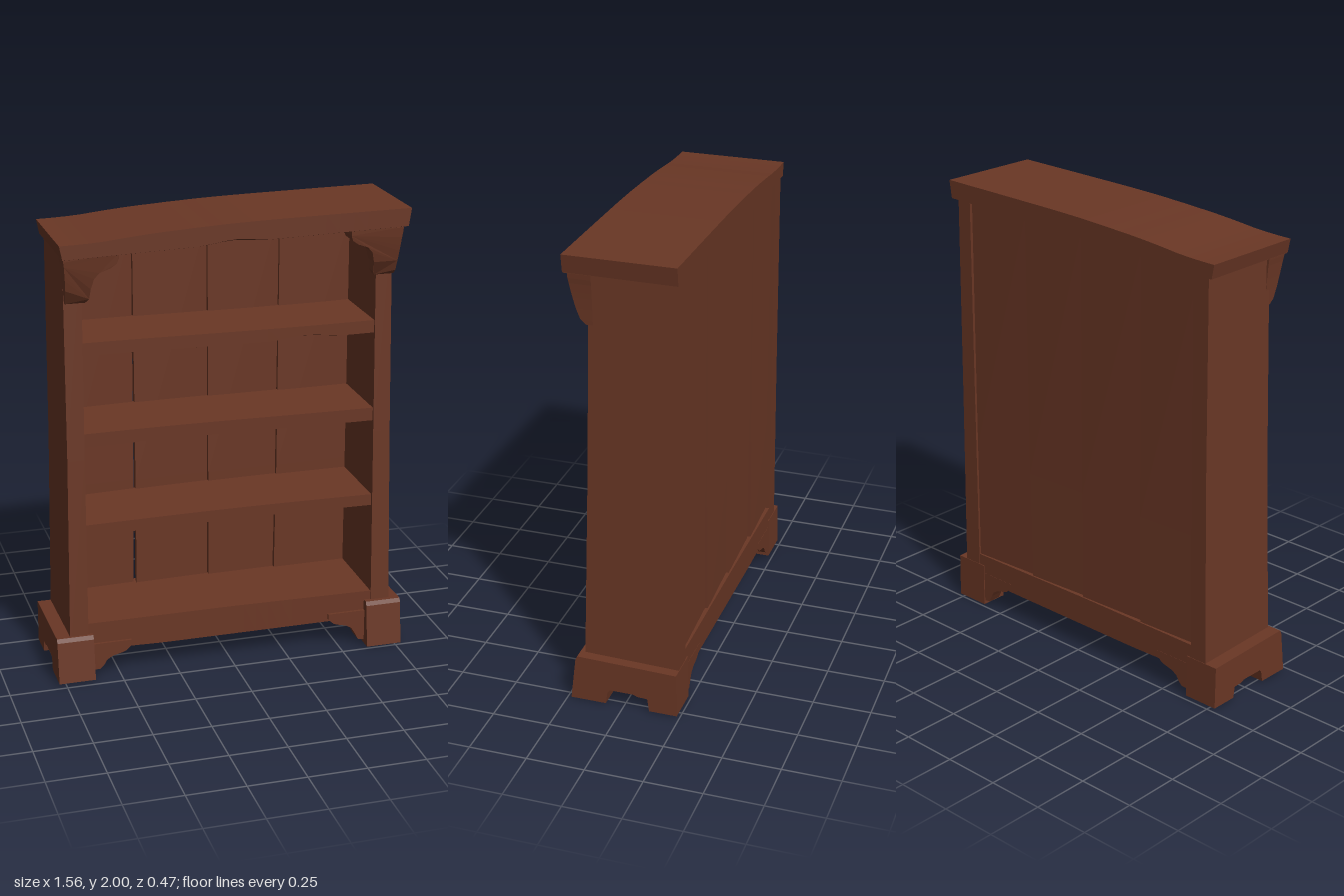
import * as THREE from 'three';

const wood = new THREE.MeshStandardMaterial({ color: 0x6a3725 });
wood.name = 'brown wood';

// Closed solid through rings of [x, y, z]; rings run anticlockwise seen from the last one
function loft(rings) {
  const n = rings[0].length, idx = [];
  for (let r = 0; r < rings.length - 1; r++) {
    for (let i = 0; i < n; i++) {
      const a = r * n + i, b = r * n + (i + 1) % n;
      idx.push(a, b, b + n, a, b + n, a + n);
    }
  }
  const e = (rings.length - 1) * n;
  for (let i = 1; i < n - 1; i++) idx.push(0, i + 1, i, e, e + i, e + i + 1);
  const g = new THREE.BufferGeometry();
  g.setAttribute('position', new THREE.Float32BufferAttribute(rings.flat(2), 3));
  g.setIndex(idx);
  const flat = g.toNonIndexed();
  flat.computeVertexNormals();
  return flat;
}

// Horizontal ring for upright parts
const level = (y, x0, x1, zBack, zFront) =>
  [[x0, y, zFront], [x1, y, zFront], [x1, y, zBack], [x0, y, zBack]];

// Board along x with wavy top and bottom and an optional chipped lower front edge
function board({ x0, x1, bottom, top, zBack, zFront, slant = 0, chipX = 9, chip = 0, chipWidth = 0.15 }) {
  const rings = [], steps = 24;
  for (let i = 0; i <= steps; i++) {
    const t = i / steps, x = THREE.MathUtils.lerp(x0, x1, t);
    const c = 0.002 + chip * Math.max(0, 1 - Math.abs(x - chipX) / chipWidth);
    const lean = slant * (2 * t - 1), b = bottom(x), h = top(x);
    rings.push([
      [x, b + c, zFront], [x, b, zFront - 3 * c], [x, b, zBack],
      [x + lean, h, zBack], [x + lean, h, zFront],
    ]);
  }
  return loft(rings);
}

const outline = (pts) => new THREE.Shape(pts.map(([x, y]) => new THREE.Vector2(x, y)));
const extrude = (pts, depth) =>
  new THREE.ExtrudeGeometry(outline(pts), { depth, bevelEnabled: false });

export function createModel() {
  const model = new THREE.Group();
  model.name = 'bookcase';
  const add = (name, geometry) => {
    const m = new THREE.Mesh(geometry, wood);
    m.name = name;
    model.add(m);
    return m;
  };

  // Tapering side panels
  add('rightSide', loft([
    level(0.12, -0.722, -0.64, -0.23, 0.187),
    level(1.0, -0.706, -0.632, -0.23, 0.162),
    level(1.9, -0.7, -0.622, -0.23, 0.14),
  ]));
  add('leftSide', loft([
    level(0.12, 0.65, 0.736, -0.23, 0.187),
    level(1.0, 0.648, 0.724, -0.23, 0.162),
    level(1.93, 0.645, 0.715, -0.23, 0.14),
  ]));

  // Warped top slab, higher on the left
  const rise = new THREE.CatmullRomCurve3([
    [-0.8, 1.942], [-0.58, 1.947], [-0.35, 1.968], [0, 1.987], [0.4, 1.995], [0.8, 2.0],
  ].map(([x, y]) => new THREE.Vector3(x, y, 0)));
  const risePts = rise.getPoints(100);
  const topY = (x) => risePts.reduce((p, q) => (Math.abs(q.x - x) < Math.abs(p.x - x) ? q : p)).y;
  add('topSlab', board({
    x0: -0.718, x1: 0.752, slant: 0.012, zBack: -0.235, zFront: 0.235,
    bottom: (x) => 1.903 + 0.027 * x - 0.004 * x * x, top: topY,
    chipX: 0, chip: 0.018, chipWidth: 0.14,
  }));

  // Shelves, slightly bowed
  [[0.652, 0.705, 0.158, 0], [1.048, 1.108, 0.15, 0], [1.443, 1.5, 0.142, 0.018]].forEach(
    ([low, high, zFront, chip], i) => {
      const bow = (x) => 0.004 * Math.cos(x * 3 + i);
      add('shelf' + (i + 1), board({
        x0: -0.645, x1: 0.66, zBack: -0.2, zFront, chip, chipX: 0.35,
        bottom: (x) => low + bow(x), top: (x) => high + bow(x),
      }));
    });
  add('baseBoard', board({
    x0: -0.66, x1: 0.67, zBack: -0.228, zFront: 0.178,
    bottom: (x) => 0.12 + 0.025 * Math.max(0, -x - 0.3), top: (x) => 0.255 - 0.012 * Math.max(0, x),
  }));

  // Back planks: [left, right] edges at the foot, then at the head
  [[-0.65, -0.348, -0.64, -0.334], [-0.335, -0.002, -0.331, -0.002],
    [0.001, 0.308, 0.001, 0.322], [0.311, 0.66, 0.325, 0.66]].forEach(([a, b, c, d], i) => {
    const plank = (y, x0, x1, twist) => [
      [x0, y, -0.188 + twist], [x1, y, -0.188 - twist],
      [x1, y, -0.215 - twist], [x0, y, -0.215 + twist],
    ];
    add('backPlank' + (i + 1), loft([
      plank(0.18, a, b, 0.006),
      plank(0.75, a + (c - a) * 0.6, b + (d - b) * 0.6, 0.005),
      plank(1.9 + i * 0.008, c, d, 0.002),
    ]));
  });

  // Curved corbels under the slab, with a front face that sweeps back towards the bottom
  const corbelFront = (y) => 0.155 + 0.067 * Math.sqrt(THREE.MathUtils.clamp((y - 1.68) / 0.2, 0, 1));
  const corbel = (name, side, dy, dx) => {
    const pts = [
      [0.706, 1.68], [0.62, 1.68], [0.608, 1.7], [0.604, 1.745], [0.592, 1.79], [0.57, 1.815],
      [0.525, 1.832], [0.5, 1.85], [0.492, 1.872], [0.492, 1.895],
      [0.722, 1.895], [0.72, 1.872], [0.717, 1.85], [0.714, 1.815], [0.712, 1.79],
      [0.709, 1.745], [0.707, 1.7],
    ].map(([x, y]) => [side * (x + dx), y]);
    const g = extrude(pts, 1), p = g.attributes.position;
    for (let i = 0; i < p.count; i++) {
      p.setZ(i, p.getZ(i) > 0.5 ? corbelFront(p.getY(i)) : 0.125);
      p.setY(i, p.getY(i) + dy);
    }
    g.computeVertexNormals();
    add(name, g);
  };
  corbel('rightCorbel', -1, 0, -0.008);
  corbel('leftCorbel', 1, 0.022, 0.014);

  // Notched feet running front to back
  const foot = (name, x0, width, y0, front) => {
    const g = extrude([
      [front, y0], [front - 0.022, 0.19], [front - 0.03, 0.208], [-0.232, 0.197], [-0.235, y0],
      [-0.113, y0], [-0.105, 0.058], [-0.06, 0.06], [-0.045, 0.068], [0.06, 0.068], [0.072, 0.055], [0.08, y0],
    ], width);
    g.rotateY(-Math.PI / 2);
    g.translate(x0 + width, 0, 0);
    add(name, g);
  };
  foot('rightFoot', -0.78, 0.16, 0.008, 0.225);
  foot('leftFoot', 0.62, 0.16, 0, 0.235);

  // Scrolled brackets beside the feet, front and back
  for (const side of [-1, 1]) {
    for (const [place, z, depth] of [['front', 0.115, 0.075], ['back', -0.229, 0.06]]) {
      const g = extrude([
        [0.64, 0.16], [0.64, side < 0 ? 0.038 : 0.015], [0.592, side < 0 ? 0.04 : 0.022], [0.575, 0.055],
        [0.56, 0.08], [0.535, 0.095], [0.495, 0.105], [0.475, 0.112], [0.45, 0.135], [0.45, 0.16],
      ].map(([x, y]) => [side * x, y]), depth);
      g.translate(0, 0, z);
      add(place + (side < 0 ? 'Right' : 'Left') + 'Bracket', g);
    }
  }
  return model;
}
